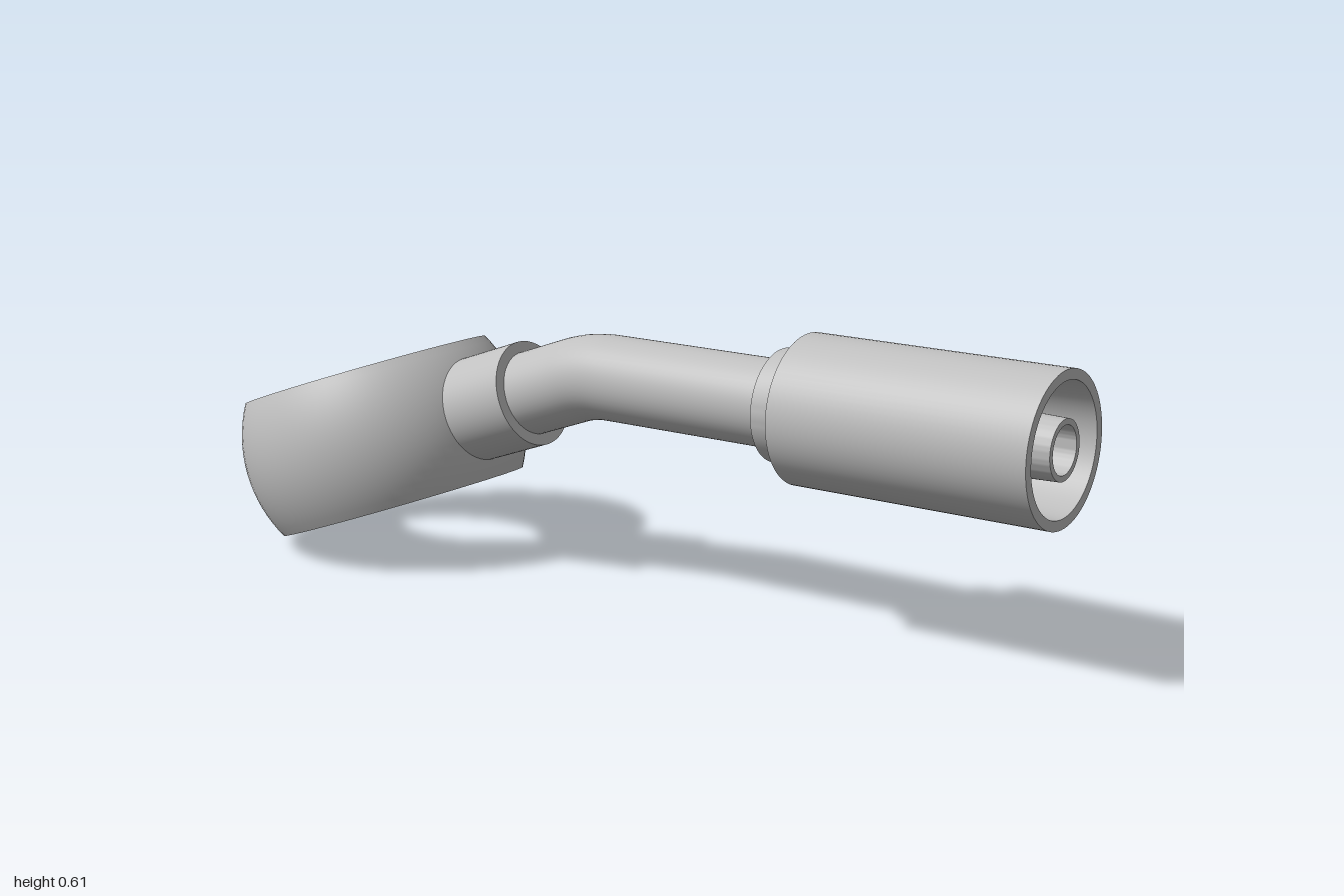
import * as THREE from 'three';
import { toCreasedNormals } from 'three/addons/utils/BufferGeometryUtils.js';

const TILT = THREE.MathUtils.degToRad(20);
const AXIS_Y = 0.458;

export function createModel() {
  const group = new THREE.Group();
  const steel = new THREE.MeshStandardMaterial({ color: 0xc0c0c0, side: THREE.DoubleSide });
  steel.name = 'steel';

  const add = (name, geometry, parent = group) => {
    const mesh = new THREE.Mesh(geometry, steel);
    mesh.name = name;
    parent.add(mesh);
    return mesh;
  };
  // Revolved [radius, height] profile with sharp edges kept
  const turned = (profile) => toCreasedNormals(
    new THREE.LatheGeometry(profile.map(([r, h]) => new THREE.Vector2(r, h)), 72), 0.45);

  // Tilted eye end: ring and the neck that leaves it
  const eye = new THREE.Group();
  eye.name = 'eyeEnd';
  eye.position.set(-0.682, 0.241, 0);
  eye.rotation.z = TILT;
  group.add(eye);

  // Ring: truncated ball with a grooved bore
  const R = 0.3185, half = 0.154, bore = 0.197, groove = 0.216, g = 0.064;
  const cap = Math.asin(half / R);
  const ring = [[bore, -half]];
  for (let i = 0; i <= 16; i++) {
    const a = -cap + (2 * cap * i) / 16;
    ring.push([R * Math.cos(a), R * Math.sin(a)]);
  }
  ring.push([bore, half], [bore, g], [groove, g], [groove, -g], [bore, -g], [bore, -half]);
  add('banjoRing', turned(ring), eye);

  // Neck collar, rooted inside the ring wall
  const collar = add('neckCollar', new THREE.CylinderGeometry(0.114, 0.114, 0.206, 64), eye);
  collar.rotation.z = -Math.PI / 2;
  collar.position.x = 0.353;

  // Bent pipe: straight, bend, straight
  const corner = new THREE.Vector3(-0.088, AXIS_Y, 0);
  const along = (d) => new THREE.Vector3(
    corner.x - d * Math.cos(TILT), corner.y - d * Math.sin(TILT), 0);
  const pipe = (endX, radius) => {
    const bendEnd = new THREE.Vector3(corner.x + 0.05, AXIS_Y, 0);
    const path = new THREE.CurvePath();
    path.add(new THREE.LineCurve3(along(0.23), along(0.05)));
    path.add(new THREE.QuadraticBezierCurve3(along(0.05), corner, bendEnd));
    path.add(new THREE.LineCurve3(bendEnd, new THREE.Vector3(endX, AXIS_Y, 0)));
    return new THREE.TubeGeometry(path, 90, radius, 48, false);
  };
  add('bentPipe', pipe(0.4, 0.09));
  add('pipeBore', pipe(0.5, 0.048));

  // Ferrule: shoulder, sleeve, tapered socket and hollow nipple
  const ferrule = add('ferrule', turned([
    [0.048, 0.38], [0.115, 0.38], [0.115, 0.44], [0.153, 0.44], [0.153, 1],
    [0.132, 1], [0.115, 0.52], [0.074, 0.52], [0.06, 1], [0.048, 1], [0.048, 0.38],
  ]));
  ferrule.rotation.z = -Math.PI / 2;
  ferrule.position.y = AXIS_Y;

  return group;
}
